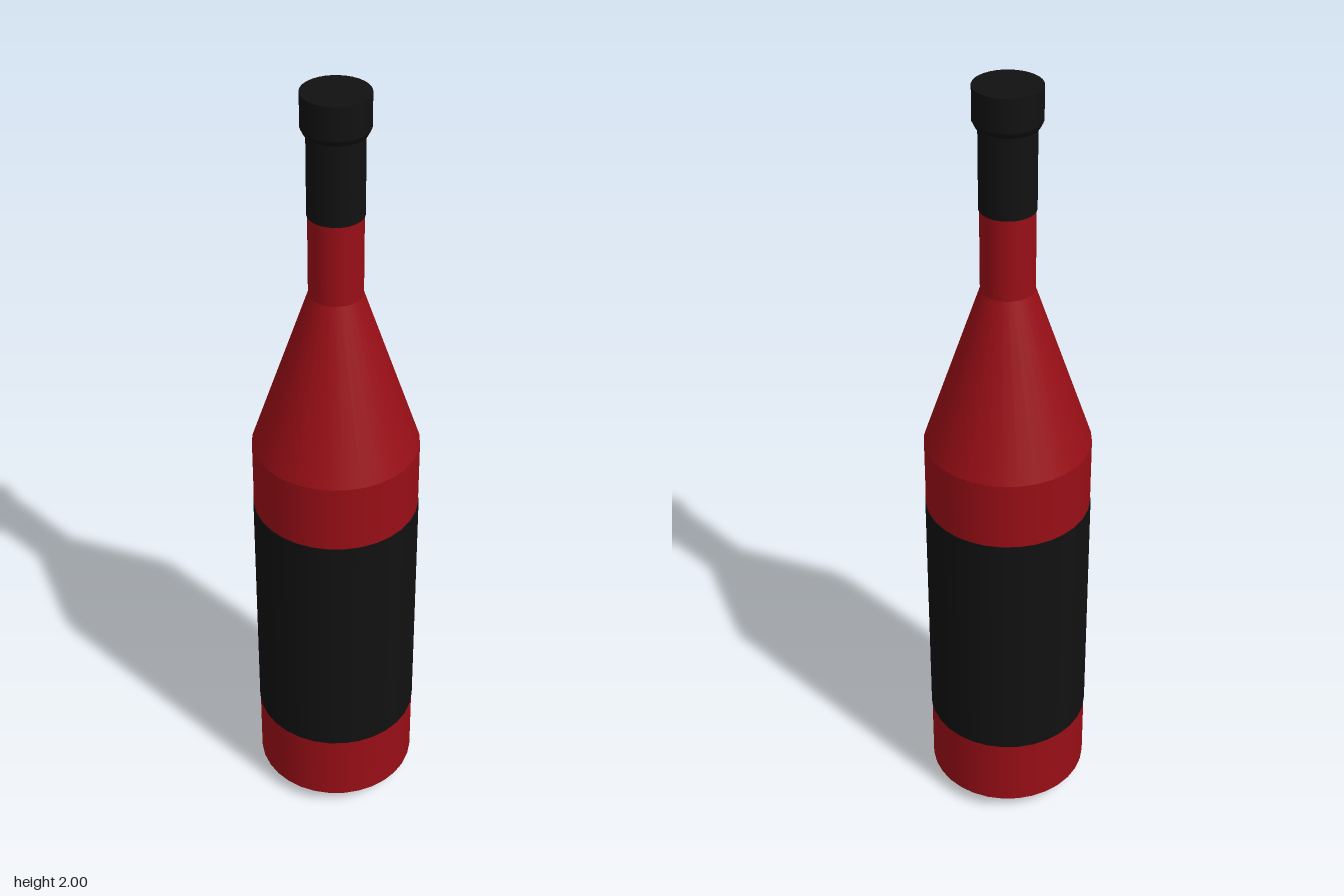
import * as THREE from 'three';

const SIDES = 32;
const glassRed = new THREE.MeshStandardMaterial({ color: 0x980e16 });
const matteBlack = new THREE.MeshStandardMaterial({ color: 0x111111 });

// Turned part; each run of [radius, y] points is smooth, edges between runs stay sharp
function turned(name, material, runs) {
  const part = new THREE.Group();
  part.name = name;
  runs.forEach((run, i) => {
    const points = run.map(([r, y]) => new THREE.Vector2(r, y));
    const mesh = new THREE.Mesh(new THREE.LatheGeometry(points, SIDES), material);
    mesh.name = `${name}Section${i + 1}`;
    part.add(mesh);
  });
  return part;
}

export function createModel() {
  const bottle = new THREE.Group();
  bottle.name = 'bottle';

  // Glass: hollowed base, rounded heel, straight wall, conical shoulder, neck
  bottle.add(turned('glass', glassRed, [
    [[0, 0.04], [0.04, 0.032], [0.08, 0.01], [0.11, 0], [0.15, 0.008], [0.185, 0.024], [0.206, 0.042]],
    [[0.206, 0.042], [0.206, 0.235]],
    [[0.206, 0.9], [0.206, 1.08]],
    [[0.206, 1.08], [0.065, 1.5]],
    [[0.065, 1.5], [0.065, 1.705]],
  ]));

  // Wrap-around label
  bottle.add(turned('label', matteBlack, [
    [[0.206, 0.235], [0.2075, 0.235]],
    [[0.2075, 0.235], [0.2075, 0.9]],
    [[0.2075, 0.9], [0.206, 0.9]],
  ]));

  // Foil sleeve around the upper neck
  bottle.add(turned('foil', matteBlack, [
    [[0.065, 1.705], [0.067, 1.705]],
    [[0.067, 1.705], [0.067, 1.91]],
  ]));

  // Cap with a small chamfer underneath
  bottle.add(turned('cap', matteBlack, [
    [[0.067, 1.906], [0.073, 1.906], [0.08, 1.92]],
    [[0.08, 1.92], [0.08, 2]],
    [[0.08, 2], [0, 2]],
  ]));

  return bottle;
}
